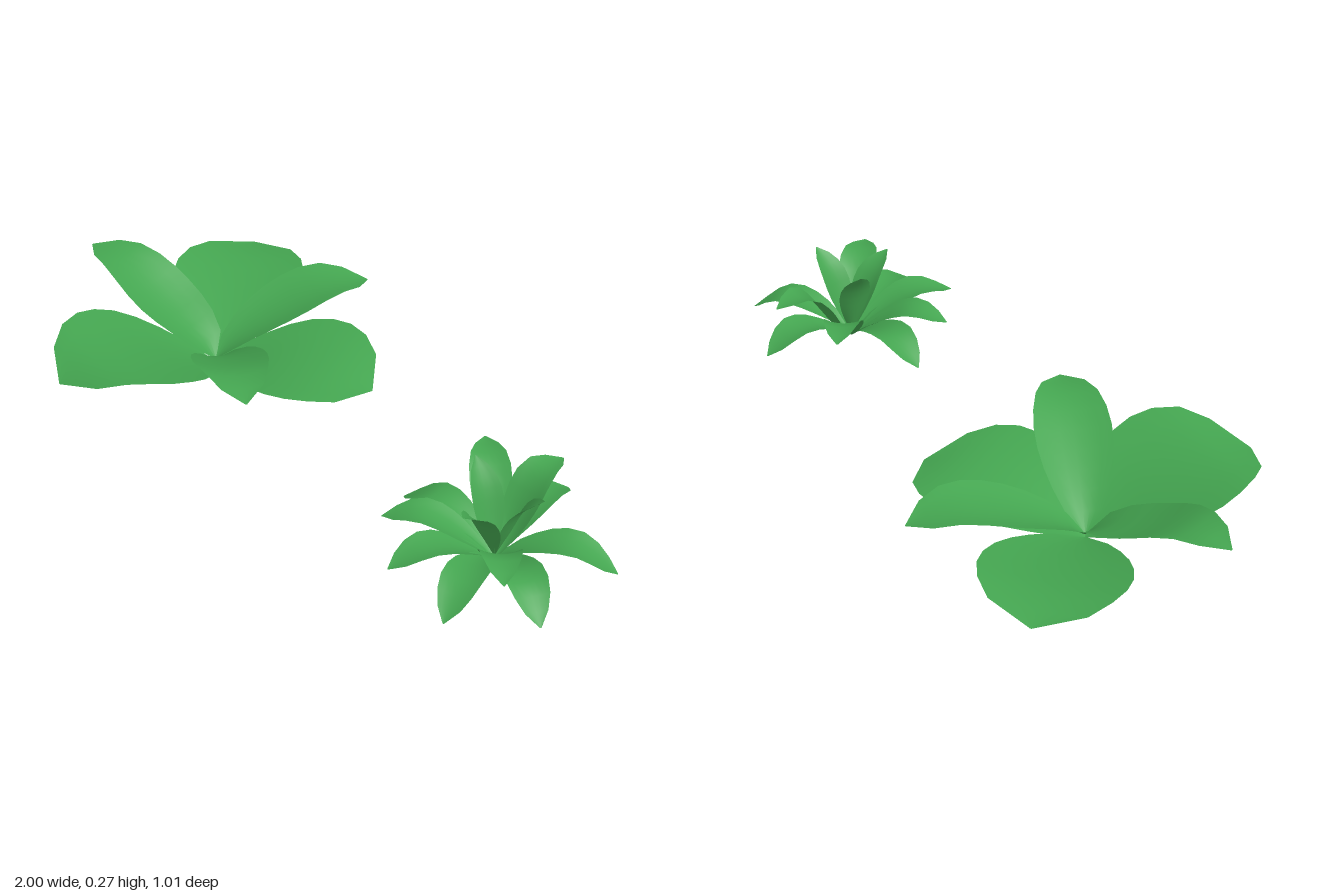
import * as THREE from 'three';

const green = new THREE.MeshStandardMaterial({ color: 0x44a550, side: THREE.DoubleSide });
const ROWS = 9, COLS = 6;

// One cupped leaf: the midrib runs from the base through [reach fraction, height] points to the tip.
function leaf(name, base, tip, rib, { half, cup, peak, blunt }) {
  const dx = tip[0] - base[0], dz = tip[1] - base[1];
  const reach = Math.hypot(dx, dz), ux = dx / reach, uz = dz / reach;
  const curve = new THREE.CatmullRomCurve3(
    rib.map(([f, y]) => new THREE.Vector3(f * reach, y, 0)), false, 'centripetal');
  const pos = [], index = [];
  for (let i = 0; i <= ROWS; i++) {
    const t = i / ROWS;
    const p = curve.getPointAt(t), tan = curve.getTangentAt(t);
    const w = half * Math.pow(Math.max(0, Math.sin(Math.PI * Math.pow(t, peak))), blunt) + 0.002;
    for (let j = 0; j <= COLS; j++) {
      const s = (j / COLS) * 2 - 1;
      const lift = cup * (w / half) * s * s * (1 - 0.6 * t);
      const r = p.x - tan.y * lift, y = p.y + tan.x * lift;
      pos.push(base[0] + ux * r - uz * w * s, Math.max(0, y), base[1] + uz * r + ux * w * s);
      if (i < ROWS && j < COLS) {
        const a = i * (COLS + 1) + j, b = a + COLS + 1;
        index.push(a, a + 1, b, a + 1, b + 1, b);
      }
    }
  }
  const geo = new THREE.BufferGeometry();
  geo.setAttribute('position', new THREE.Float32BufferAttribute(pos, 3));
  geo.setIndex(index);
  geo.computeVertexNormals();
  const mesh = new THREE.Mesh(geo, green);
  mesh.name = name;
  return mesh;
}

// Large plant: three broad leaves below three narrow ones
function broadPlant() {
  const plant = new THREE.Group();
  plant.name = 'broadLeafPlant';
  const base = [-0.52, -0.02];
  // tip, midrib, half width, position of the widest part, bluntness
  const broad = [
    [[-0.57, 0.5], [[0, 0], [0.2, 0.055], [0.5, 0.13], [0.78, 0.165], [1, 0.12]], 0.233, 1.15, 0.65],
    [[-0.855, -0.43], [[0, 0], [0.2, 0.04], [0.5, 0.09], [0.8, 0.12], [1, 0.105]], 0.2, 1.35, 0.55],
    [[-0.045, -0.23], [[0, 0], [0.2, 0.04], [0.5, 0.08], [0.8, 0.085], [1, 0.055]], 0.22, 1.35, 0.6],
  ];
  for (const [tip, rib, half, peak, blunt] of broad)
    plant.add(leaf('broadLeaf', base, tip, rib, { half, cup: 0.035, peak, blunt }));
  const narrow = [
    [[-0.39, -0.505], [[0, 0.01], [0.12, 0.06], [0.45, 0.14], [0.75, 0.185], [1, 0.16]], 1.2],
    [[-1, 0.08], [[0, 0.01], [0.1, 0.06], [0.4, 0.135], [0.75, 0.225], [1, 0.225]], 0.95],
    [[-0.07, 0.21], [[0, 0.01], [0.12, 0.06], [0.45, 0.15], [0.76, 0.205], [1, 0.19]], 1.1],
  ];
  for (const [tip, rib, peak] of narrow)
    plant.add(leaf('narrowLeaf', base, tip, rib, { half: 0.106, cup: 0.03, peak, blunt: 0.6 }));
  return plant;
}

// Small plant: drooping outer leaves, arched middle leaves and upright inner leaves
function smallPlant() {
  const plant = new THREE.Group();
  plant.name = 'smallRosettePlant';
  const base = [0.695, -0.025];
  // tip x, tip z, tip height, crest height
  const tiers = {
    outerLeaf: [
      [0.375, 0.015, 0.04, 0.10], [0.65, -0.34, 0.06, 0.11], [0.97, -0.21, 0.025, 0.09],
      [1.0, 0.1, 0.03, 0.10], [0.83, 0.28, 0.03, 0.09], [0.63, 0.295, 0.09, 0.12],
    ],
    middleLeaf: [
      [0.44, -0.22, 0.17, 0.17], [0.93, 0.17, 0.16, 0.17],
      [0.46, 0.17, 0.10, 0.125], [0.67, -0.29, 0.195, 0.205],
    ],
    innerLeaf: [
      [0.58, -0.05, 0.265, 0.20], [0.83, -0.06, 0.255, 0.20], [0.73, 0.13, 0.235, 0.19],
    ],
  };
  for (const [name, list] of Object.entries(tiers)) {
    const inner = name === 'innerLeaf';
    for (const [x, z, y, crest] of list) {
      const rib = inner
        ? [[0, 0.01], [0.25, 0.09], [0.6, crest], [1, y]]
        : [[0, 0], [0.2, 0.05], [0.65, crest], [1, y]];
      plant.add(leaf(name, base, [x, z], rib,
        { half: inner ? 0.045 : 0.056, cup: 0.018, peak: 1.3, blunt: 0.75 }));
    }
  }
  return plant;
}

export function createModel() {
  const model = new THREE.Group();
  model.name = 'leafyPlants';
  model.add(broadPlant(), smallPlant());
  return model;
}
